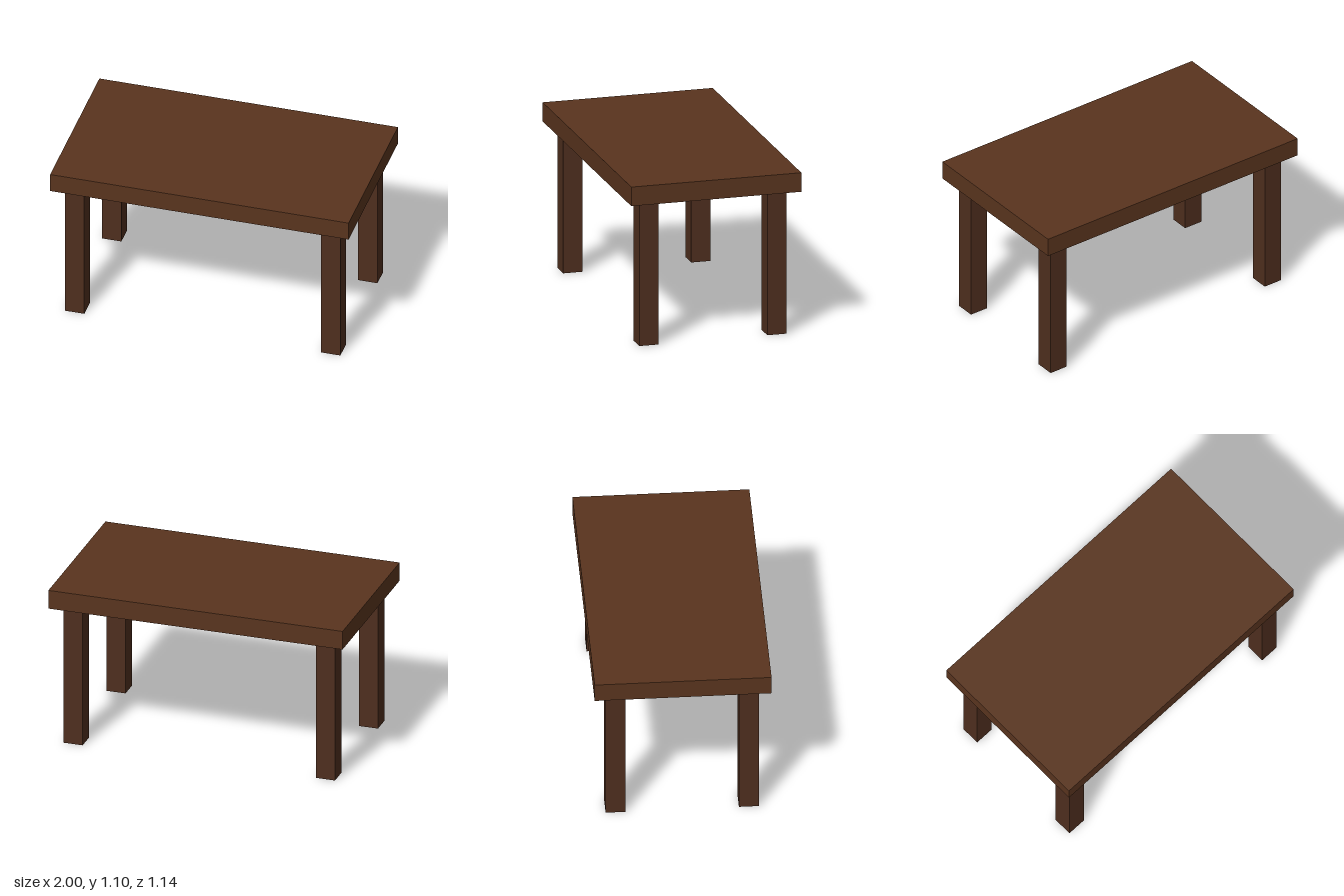
import * as THREE from 'three';

const HEIGHT = 1.096, TOP = 0.128, LEG = 0.129;

export function createModel() {
  const table = new THREE.Group();
  table.name = 'table';
  const topWood = new THREE.MeshStandardMaterial({ color: 0x59341e });
  const legWood = new THREE.MeshStandardMaterial({ color: 0x4e2e1e });

  // thick rectangular slab
  const tabletop = new THREE.Mesh(new THREE.BoxGeometry(2, TOP, 1.142), topWood);
  tabletop.name = 'tabletop';
  tabletop.position.y = HEIGHT - TOP / 2;
  table.add(tabletop);

  // four square legs, set in from the corners
  const legHeight = HEIGHT - TOP;
  const legGeometry = new THREE.BoxGeometry(LEG, legHeight, LEG);
  for (const [side, x] of [['Left', 0.858], ['Right', -0.858]]) {
    for (const [end, z] of [['front', 0.43], ['back', -0.43]]) {
      const leg = new THREE.Mesh(legGeometry, legWood);
      leg.name = `${end}${side}Leg`;
      leg.position.set(x, legHeight / 2, z);
      table.add(leg);
    }
  }
  return table;
}
